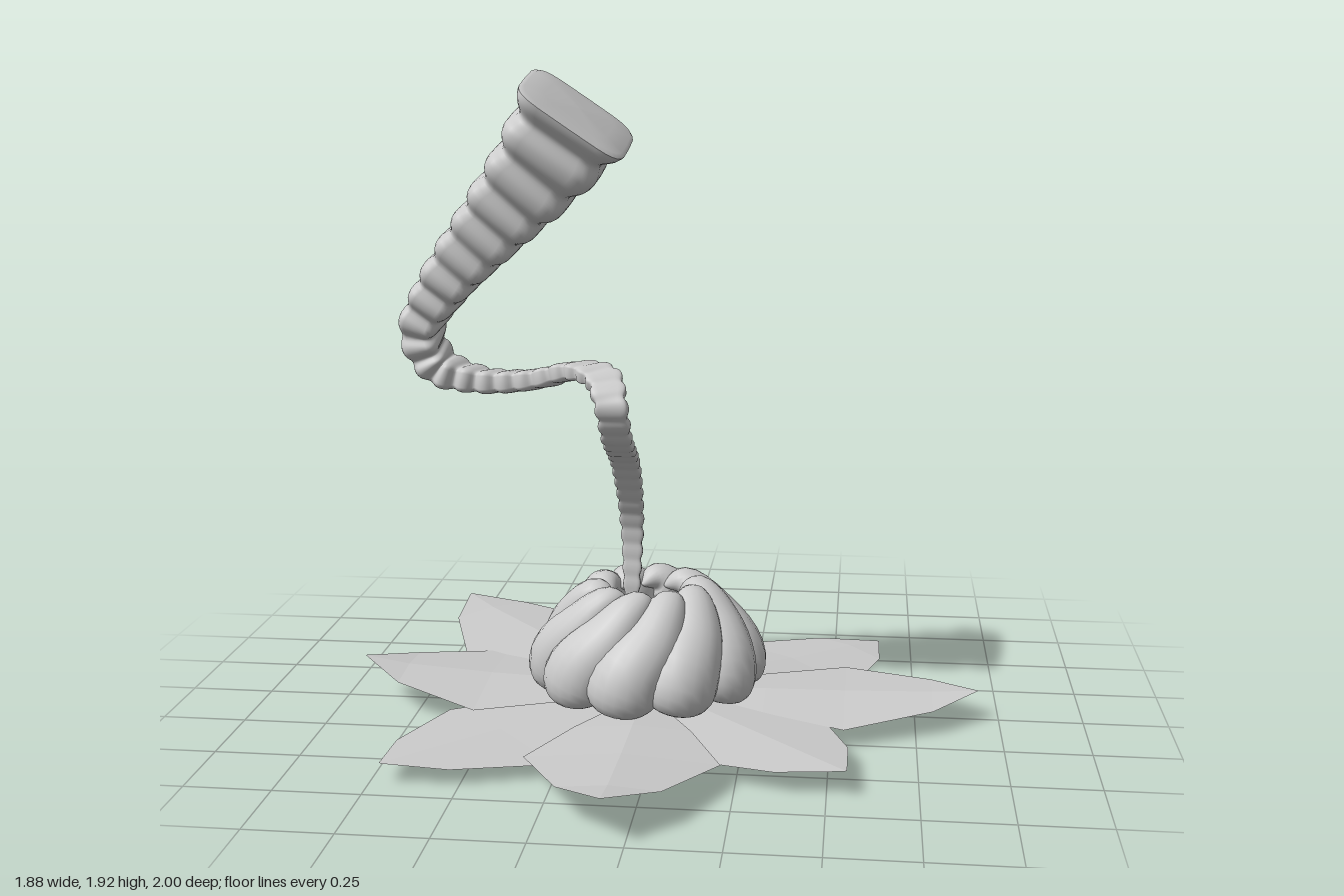
import * as THREE from 'three';

const V = (x, y, z) => new THREE.Vector3(x, y, z);
const grey = new THREE.MeshStandardMaterial({ color: 0xcccccc });
const petalMaterial = new THREE.MeshStandardMaterial({ color: 0xcccccc, side: THREE.DoubleSide, flatShading: true });
const CENTRE_X = -0.06;

// Skin a list of stations {p, t, w, a, b}: centre, direction, width direction, half sizes.
function skin(stations, sides, power) {
  const pos = [], idx = [];
  const bend = v => Math.sign(v) * Math.pow(Math.abs(v), power);
  stations.forEach(({ p, t, w, a, b }, i) => {
    const side = w.clone().addScaledVector(t, -w.dot(t)).normalize();
    const up = t.clone().cross(side);
    for (let j = 0; j < sides; j++) {
      const k = (j / sides) * Math.PI * 2;
      const v = p.clone().addScaledVector(side, a * bend(Math.cos(k))).addScaledVector(up, b * bend(Math.sin(k)));
      pos.push(v.x, v.y, v.z);
      if (i === 0) continue;
      const r0 = (i - 1) * sides, r1 = i * sides, n = (j + 1) % sides;
      idx.push(r0 + j, r0 + n, r1 + j, r0 + n, r1 + n, r1 + j);
    }
  });
  const g = new THREE.BufferGeometry();
  g.setAttribute('position', new THREE.Float32BufferAttribute(pos, 3));
  g.setIndex(idx);
  g.computeVertexNormals();
  return g;
}

function named(name, geometry, material = grey) {
  const m = new THREE.Mesh(geometry, material);
  m.name = name;
  return m;
}

// Ribbed stem: a thin ribbon that grows into a square bellows.
function createStem() {
  // centre x y z, half width, half thickness, width direction
  const rows = [
    [-0.11, 0.36, -0.01, 0.022, 0.01, 1, 0, 0],
    [-0.11, 0.6, -0.02, 0.034, 0.012, 1, 0, 0],
    [-0.11, 0.8, 0.11, 0.04, 0.014, 1, 0, 0],
    [-0.11, 0.93, 0.31, 0.041, 0.016, 1, 0, 0],
    [-0.118, 1.03, 0.362, 0.044, 0.018, 1, 0, 0],
    [-0.15, 1.09, 0.29, 0.05, 0.02, 1, 0.1, -0.3],
    [-0.23, 1.1, 0.21, 0.055, 0.024, 0.7, 0, -0.8],
    [-0.37, 1.06, 0.155, 0.065, 0.028, 0.35, -0.1, -1],
    [-0.54, 1.05, 0.12, 0.08, 0.034, 0.1, -0.1, -1],
    [-0.66, 1.09, 0.11, 0.095, 0.043, 0, 0, -1],
    [-0.7, 1.2, 0.13, 0.107, 0.05, 0, 0, -1],
    [-0.62, 1.34, 0.16, 0.118, 0.068, 0, 0.05, -1],
    [-0.45, 1.54, 0.2, 0.13, 0.1, 0, 0.1, -1],
    [-0.31, 1.7, 0.24, 0.145, 0.13, 0, 0.15, -1],
    [-0.22, 1.825, 0.265, 0.158, 0.158, 0, 0.2, -1],
  ];
  const curve = (f) => new THREE.CatmullRomCurve3(rows.map(f));
  const path = curve(r => V(r[0], r[1], r[2]));
  const size = curve(r => V(r[3], r[4], 0));
  const width = curve(r => V(r[5], r[6], r[7]));

  const stations = [], N = 420;
  let phase = 0;
  for (let i = 0; i <= N; i++) {
    const u = i / N, p = path.getPoint(u), s = size.getPoint(u);
    if (i) phase += p.distanceTo(stations[i - 1].p) / (0.045 + 0.52 * s.y);
    stations.push({ p, t: path.getTangent(u), w: width.getPoint(u), a: s.x, b: s.y, phase });
  }
  // Ribs, with a crest at the open end
  for (const s of stations) {
    const k = (s.phase - phase) * Math.PI * 2;
    const rib = 1 + 0.09 * Math.cos(k - 0.35 * Math.sin(k));
    s.a *= rib;
    s.b *= rib;
  }
  const g = new THREE.Group();
  g.name = 'stem';
  g.add(named('bellows', skin(stations, 28, 0.4)));

  // Slightly domed end plate
  const e = stations[N];
  const plate = [[1, 0], [0.93, 0.008], [0.6, 0.014], [0, 0.016]].map(([k, h]) =>
    ({ ...e, p: e.p.clone().addScaledVector(e.t, h), a: e.a * k, b: e.b * k }));
  g.add(named('endPlate', skin(plate, 28, 0.4)));
  return g;
}

// Swirling teardrop bulb, fat at the bottom and leaning in at the top.
function createBulbGeometry() {
  const polar = (r, y, deg) => {
    const a = THREE.MathUtils.degToRad(deg);
    return V(r * Math.cos(a), y, r * Math.sin(a));
  };
  const path = new THREE.CatmullRomCurve3([
    polar(0.25, 0.1, 4), polar(0.262, 0.18, 0), polar(0.212, 0.29, -18),
    polar(0.15, 0.385, -40), polar(0.11, 0.375, -60),
  ]);
  const stations = [], N = 28;
  for (let i = 0; i <= N; i++) {
    const u = (1 - Math.cos(Math.PI * i / N)) / 2;
    const r = 0.116 * Math.pow(Math.sin(Math.PI * Math.pow(u, 0.62)), 0.6) * (1 - 0.5 * u);
    stations.push({ p: path.getPoint(u), t: path.getTangent(u), w: V(0, 0, 1), a: r * 1.12, b: r });
  }
  return skin(stations, 20, 1);
}

// Flat pointed petal pointing along +x, folded along its midline.
function createPetalGeometry(shift, midY, tipY) {
  const baseY = 0.09;
  const rows = [
    [0.16, 0.06, baseY], [0.36, 0.17, (baseY + midY) / 2], [0.6, 0.272, midY],
    [0.86, 0.14, midY + (tipY - midY) * 0.45], [0.995, 0.004, tipY],
  ];
  const pos = [], idx = [];
  rows.forEach(([r, half, y], i) => {
    for (const s of [-1, 0, 1]) pos.push(r - shift, y - Math.abs(s) * half * 0.08, s * half);
    if (i === 0) return;
    for (let j = 0; j < 2; j++) {
      const a = (i - 1) * 3 + j, b = a + 3;
      idx.push(a, a + 1, b, a + 1, b + 1, b);
    }
  });
  const g = new THREE.BufferGeometry();
  g.setAttribute('position', new THREE.Float32BufferAttribute(pos, 3));
  g.setIndex(idx);
  g.computeVertexNormals();
  return g;
}

export function createModel() {
  const model = new THREE.Group();
  model.name = 'flowerWithStem';

  // Petals, every 45 degrees from +x towards +z: inward shift, mid height, tip height
  const petals = new THREE.Group();
  petals.name = 'petals';
  [[0, 0.095, 0.11], [0.13, 0.09, 0.09], [-0.005, 0.11, 0.15], [0.06, 0.078, 0.075],
    [0.115, 0.11, 0.15], [0, 0.112, 0.14], [-0.005, 0.1, 0.12], [0, 0.045, 0.02]]
    .forEach(([shift, midY, tipY], i) => {
      const petal = named('petal', createPetalGeometry(shift, midY, tipY), petalMaterial);
      petal.rotation.y = -i * Math.PI / 4;
      petals.add(petal);
    });
  petals.position.x = CENTRE_X;

  // Ring of bulbs
  const bulbs = new THREE.Group();
  bulbs.name = 'bulbRing';
  const bulbGeometry = createBulbGeometry(), count = 10;
  for (let i = 0; i < count; i++) {
    const bulb = named('bulb', bulbGeometry);
    bulb.rotation.y = ((i + 0.28) / count) * Math.PI * 2;
    bulbs.add(bulb);
  }
  bulbs.position.x = CENTRE_X;

  model.add(petals, bulbs, createStem());
  return model;
}
